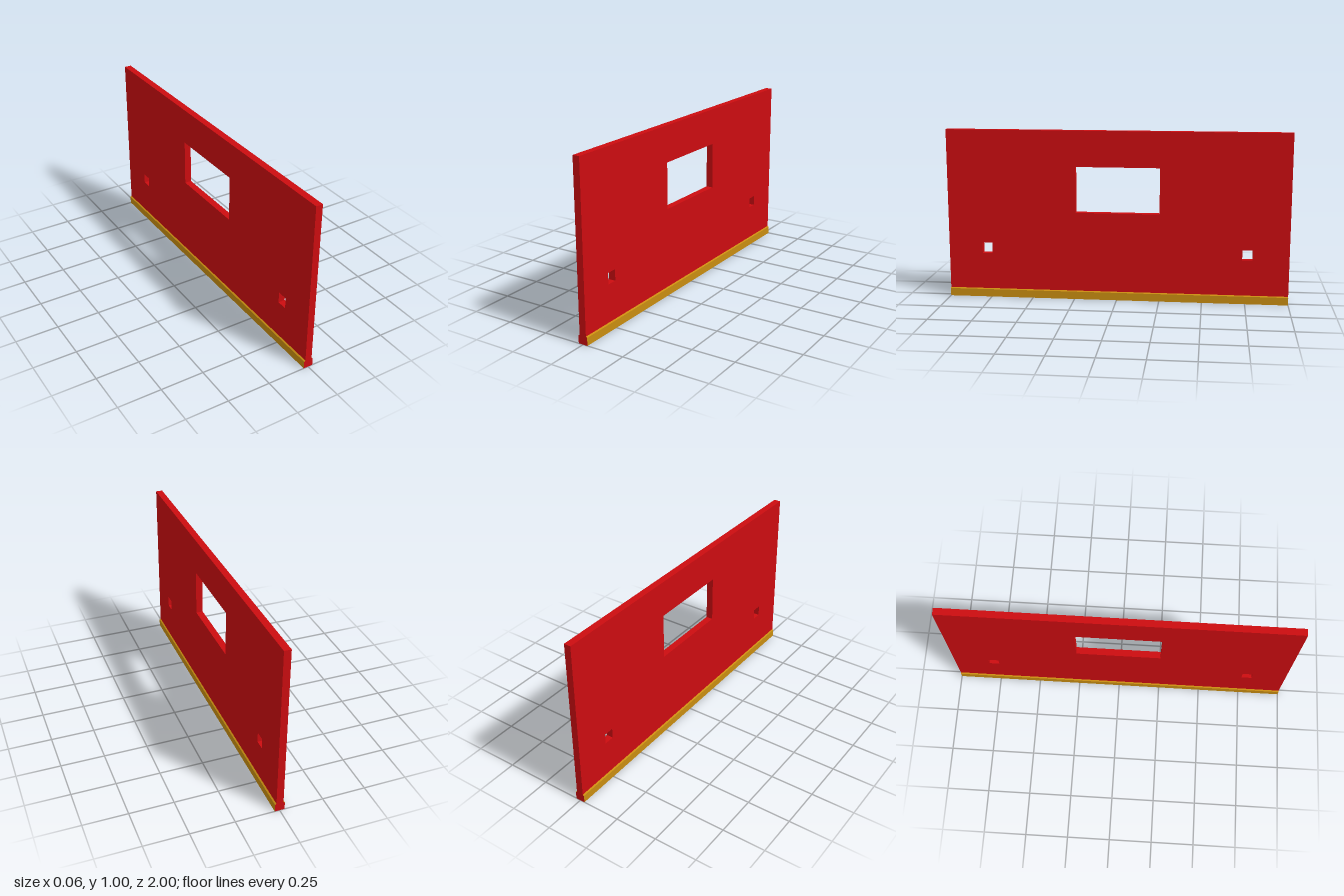
import * as THREE from 'three';

// Rectangle outline from two corners
function rect(Type, u0, v0, u1, v1) {
  return new Type([[u0, v0], [u1, v0], [u1, v1], [u0, v1]].map(([u, v]) => new THREE.Vector2(u, v)));
}

export function createModel() {
  const group = new THREE.Group();
  const red = new THREE.MeshStandardMaterial({ color: 0xcc0c10 });
  const ochre = new THREE.MeshStandardMaterial({ color: 0xc88c10 });

  // Wall panel drawn in the z-y plane, with a window and two socket openings
  const thickness = 0.04;
  const panel = rect(THREE.Shape, -1, 0.05, 1, 1);
  panel.holes.push(
    rect(THREE.Path, -0.25, 0.52, 0.24, 0.79),
    rect(THREE.Path, 0.74, 0.265, 0.8, 0.33),
    rect(THREE.Path, -0.79, 0.26, -0.73, 0.32),
  );
  const wallGeo = new THREE.ExtrudeGeometry(panel, { depth: thickness, bevelEnabled: false });
  wallGeo.rotateY(-Math.PI / 2).translate(thickness / 2, 0, 0);
  const wall = new THREE.Mesh(wallGeo, red);
  wall.name = 'wall';
  group.add(wall);

  // Chamfered base with red ends and ochre skirting along its length
  const half = [[0.028, 0], [0.028, 0.045], [0.02, 0.05]];
  const mirrored = half.map(([x, y]) => [-x, y]).reverse();
  const profile = new THREE.Shape([...half, ...mirrored].map(([x, y]) => new THREE.Vector2(x, y)));
  const baseGeo = new THREE.ExtrudeGeometry(profile, { depth: 2, bevelEnabled: false });
  baseGeo.translate(0, 0, -1);
  const base = new THREE.Mesh(baseGeo, [red, ochre]);
  base.name = 'skirtingBoard';
  group.add(base);

  return group;
}
